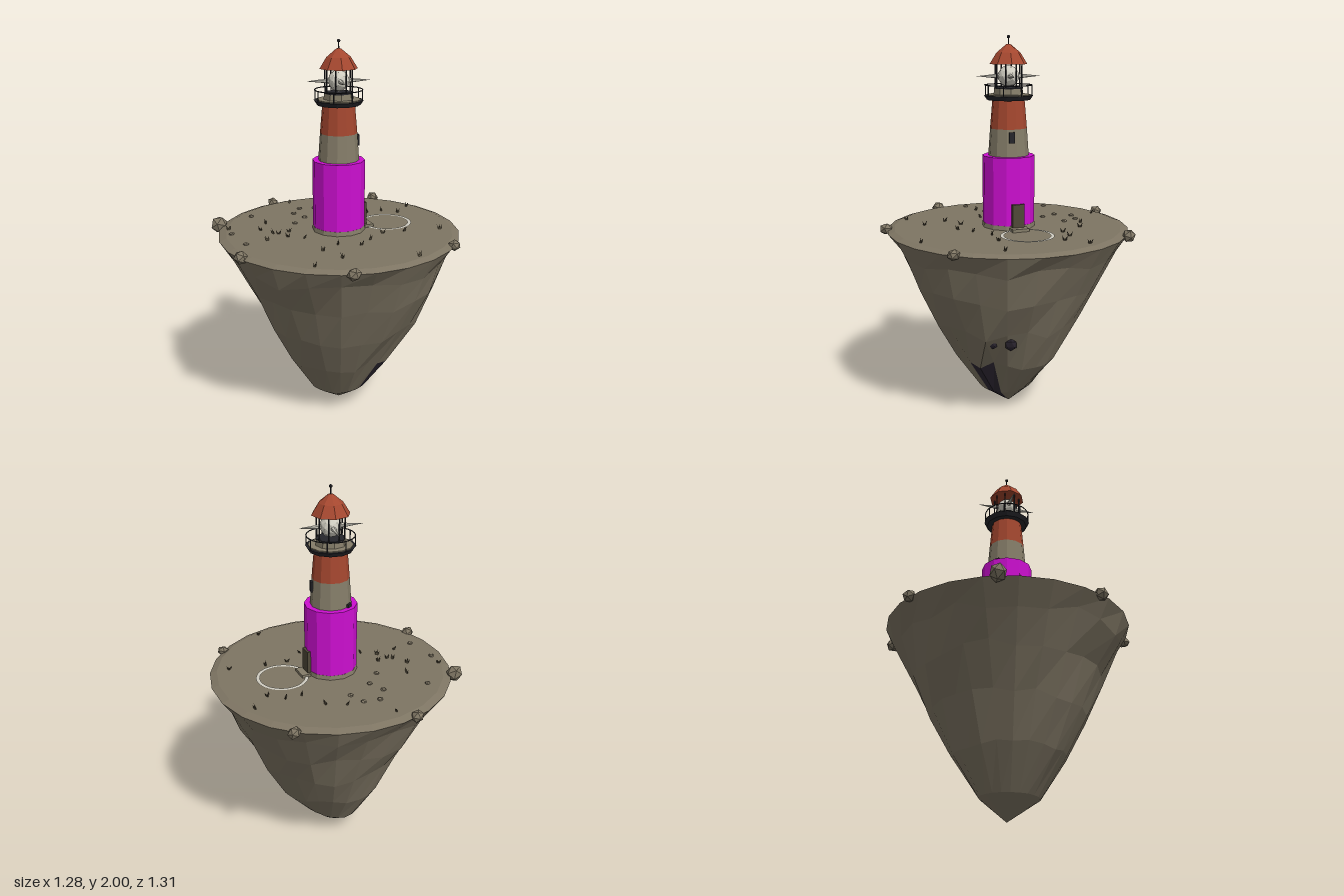
import * as THREE from 'three';

const mat = (name, color, extra = {}) => {
  const m = new THREE.MeshStandardMaterial({ color, ...extra });
  m.name = name;
  return m;
};

export function createModel() {
  const rock = mat('rock', 0x7e7563);
  const stone = mat('stone', 0x857d69);
  const red = mat('red paint', 0xa4472f);
  const magenta = mat('magenta', 0xcc0fd0);
  const iron = mat('dark iron', 0x26262b);
  const cave = mat('cave dark', 0x2c2631);
  const pale = mat('pale light', 0xcfccc0);
  const grass = mat('dry grass', 0x4f4838, { side: THREE.DoubleSide });

  const model = new THREE.Group();
  const tower = new THREE.Group();
  tower.name = 'tower';
  tower.position.x = -0.008;
  model.add(tower);

  let seed = 7;
  const rnd = () => (seed = (seed * 16807) % 2147483647) / 2147483647;

  // Adds a mesh with flat facets
  const add = (parent, name, geo, material, x = 0, y = 0, z = 0) => {
    const g = geo.index ? geo.toNonIndexed() : geo;
    g.computeVertexNormals();
    const mesh = new THREE.Mesh(g, material);
    mesh.name = name;
    mesh.position.set(x, y, z);
    parent.add(mesh);
    return mesh;
  };
  const drum = (name, m, y0, y1, r0, r1, sides = 12) =>
    add(tower, name, new THREE.CylinderGeometry(r1, r0, y1 - y0, sides), m, 0, (y0 + y1) / 2, 0);

  // Island rings: height, then radius toward +x, +z, -x, -z
  const rings = [
    [0.0, 0, 0, 0, 0],
    [0.11, 0.145, 0.165, 0.17, 0.12],
    [0.32, 0.28, 0.3, 0.285, 0.29],
    [0.53, 0.415, 0.4, 0.39, 0.4],
    [0.73, 0.515, 0.485, 0.485, 0.485],
    [0.9, 0.575, 0.585, 0.575, 0.58],
    [1.0, 0.63, 0.645, 0.645, 0.64],
    [1.013, 0.595, 0.605, 0.605, 0.6],
    [1.013, 0, 0, 0, 0],
  ];
  const N = 24;
  const radius = (ring, a) => {
    const c = Math.cos(a), s = Math.sin(a);
    return c * c * ring[c > 0 ? 1 : 3] + s * s * ring[s > 0 ? 2 : 4];
  };
  const points = rings.map((ring, k) => Array.from({ length: N }, (_, i) => {
    const a = ((i - 0.3) / N) * Math.PI * 2;
    const wobble = k > 0 && k < 6 ? 0.02 : 0;
    const r = radius(ring, a) * (1 + (rnd() - 0.5) * wobble * 2);
    const dy = k > 1 && k < 6 ? (rnd() - 0.5) * 0.05 : 0;
    return [Math.cos(a) * r - (k === 0 ? 0.008 : 0), ring[0] + dy, Math.sin(a) * r];
  }));
  const rockPos = [], cavePos = [];
  for (let k = 0; k < rings.length - 1; k++) {
    for (let i = 0; i < N; i++) {
      const j = (i + 1) % N;
      const b0 = points[k][i], b1 = points[k][j], t0 = points[k + 1][i], t1 = points[k + 1][j];
      // Cave mouth on the +x side, with dark patches around the tip
      const mouth = i === N - 1 || i === 0;
      const dark = (k === 1 && mouth) || (k === 0 && (mouth || i === 16 || i === 17));
      const out = dark ? cavePos : rockPos;
      if (k < rings.length - 2) out.push(...b1, ...t0, ...t1);
      if (k > 0) out.push(...b0, ...t0, ...b1);
    }
  }
  const soup = (list) => new THREE.BufferGeometry()
    .setAttribute('position', new THREE.Float32BufferAttribute(list, 3));
  add(model, 'island', soup(rockPos), rock);
  add(model, 'caveMouth', soup(cavePos), cave);

  // Small hollows above the cave
  for (const [a, s] of [[-0.4, 0.028], [-0.65, 0.036]]) {
    const h = add(model, 'hollow', new THREE.IcosahedronGeometry(s, 0), cave,
      Math.cos(a) * 0.375, 0.48, Math.sin(a) * 0.375);
    h.rotation.set(0, -a, -0.5);
    h.scale.set(0.5, 1.2, 0.9);
  }

  // Rim boulders: x, z, size
  for (const [x, z, s] of [[-0.18, -0.625, 0.036], [-0.61, -0.2, 0.035], [-0.595, 0.29, 0.048],
    [-0.165, 0.615, 0.038], [0.41, 0.495, 0.037], [0.615, -0.12, 0.033]]) {
    const b = add(model, 'boulder', new THREE.IcosahedronGeometry(s, 0), rock, x, 1.005, z);
    b.rotation.set(rnd() * 3, rnd() * 3, rnd() * 3);
    b.scale.y = 0.85;
  }

  // Pebbles, in hundredths
  for (const [x, z] of [[-33, -22.5], [-39, -16.5], [-24.5, -20.5], [-36, -7], [-27, -5],
    [-25, 6.5], [-52.5, 10.5], [-25, 47.5], [-41.5, 39.5]]) {
    const p = add(model, 'pebble', new THREE.DodecahedronGeometry(0.015, 0), rock, x / 100, 1.016, z / 100);
    p.rotation.y = rnd() * 6;
    p.scale.y = 0.6;
  }

  // Grass tufts, in hundredths
  for (const [x, z] of [[-51, -22], [-18, -34], [-3, -32.5], [2, -39.5], [11, -42], [9, -55],
    [44.5, -29], [30, -15.5], [23, -6], [22.5, 6.5], [23, 15.5], [13, 21.5], [-7, 23],
    [-19.5, 19.5], [-22, 25], [-15, 26], [-24.5, 26], [-33.5, 25.5], [-38.5, 15.5], [-48, 34.5],
    [-20, 36.5], [12, 33.5], [25.5, 36.5], [21, 53], [55.5, 13.5], [-27, -29]]) {
    const tuft = new THREE.Group();
    tuft.name = 'grassTuft';
    tuft.position.set(x / 100, 1.012, z / 100);
    for (let i = 0; i < 3; i++) {
      const a = rnd() * 6.28;
      const blade = add(tuft, 'blade', new THREE.ConeGeometry(0.006, 0.028, 3), grass,
        Math.cos(a) * 0.01, 0.012, Math.sin(a) * 0.01);
      blade.rotation.set(Math.sin(a) * 0.5, 0, -Math.cos(a) * 0.5);
    }
    model.add(tuft);
  }

  // Pale landing circle
  const circle = add(model, 'groundCircle', new THREE.RingGeometry(0.118, 0.137, 40), pale, 0.15, 1.018, -0.225);
  circle.rotation.x = -Math.PI / 2;

  // Tower body
  drum('plinth', stone, 1.0, 1.036, 0.142, 0.138);
  drum('lowerSleeve', magenta, 1.036, 1.39, 0.137, 0.137);
  drum('stoneBand', stone, 1.39, 1.53, 0.106, 0.096);
  drum('redBand', red, 1.53, 1.68, 0.096, 0.083);
  drum('galleryDeck', iron, 1.675, 1.698, 0.112, 0.127);
  drum('galleryFloor', stone, 1.698, 1.703, 0.113, 0.113);
  drum('lanternBase', stone, 1.7, 1.732, 0.078, 0.074, 8);
  drum('lanternSill', iron, 1.732, 1.738, 0.076, 0.076, 8);

  // Parts turned to face outward at angle a, measured from +z toward +x
  const facing = (name, w, h, d, m, a, r, y) => {
    const b = add(tower, name, new THREE.BoxGeometry(w, h, d), m, Math.sin(a) * r, y, Math.cos(a) * r);
    b.rotation.y = a;
  };
  facing('window', 0.03, 0.055, 0.016, iron, Math.PI * 0.75, 0.098, 1.49);
  facing('window', 0.03, 0.055, 0.016, iron, -Math.PI / 2, 0.106, 1.38);
  const doorAngle = Math.PI * 0.81;
  facing('door', 0.065, 0.13, 0.02, grass, doorAngle, 0.137, 1.085);
  facing('doorStep', 0.09, 0.022, 0.05, stone, doorAngle, 0.158, 1.018);

  // Gallery railing and lantern posts
  const rail = add(tower, 'rail', new THREE.TorusGeometry(0.122, 0.003, 5, 24), iron, 0, 1.75, 0);
  rail.rotation.x = Math.PI / 2;
  for (let i = 0; i < 8; i++) {
    const a = (i / 8) * Math.PI * 2 + Math.PI / 8;
    const s = Math.sin(a), c = Math.cos(a);
    add(tower, 'railPost', new THREE.CylinderGeometry(0.003, 0.003, 0.055, 5), iron, s * 0.122, 1.723, c * 0.122);
    add(tower, 'lanternPost', new THREE.CylinderGeometry(0.004, 0.004, 0.125, 5), iron, s * 0.07, 1.797, c * 0.07);
  }

  // Lamp with four tapering rays
  add(tower, 'lamp', new THREE.IcosahedronGeometry(0.055, 1), pale, 0, 1.795, 0);
  for (let i = 0; i < 4; i++) {
    const ray = new THREE.ConeGeometry(0.014, 0.125, 6).rotateX(Math.PI / 2);
    const a = Math.PI / 4 + i * Math.PI / 2;
    const m = add(tower, 'lightRay', ray, pale, Math.sin(a) * 0.103, 1.795, Math.cos(a) * 0.103);
    m.rotation.y = a;
  }

  // Roof and finial
  const roof = [[0, 1.855], [0.098, 1.855], [0.062, 1.912], [0.012, 1.953], [0, 1.955]];
  add(tower, 'roof', new THREE.LatheGeometry(roof.map(([r, y]) => new THREE.Vector2(r, y)), 8), red);
  drum('finialRod', iron, 1.95, 1.99, 0.004, 0.003, 5);
  add(tower, 'finialBall', new THREE.IcosahedronGeometry(0.009, 1), iron, 0, 1.991, 0);

  return model;
}
